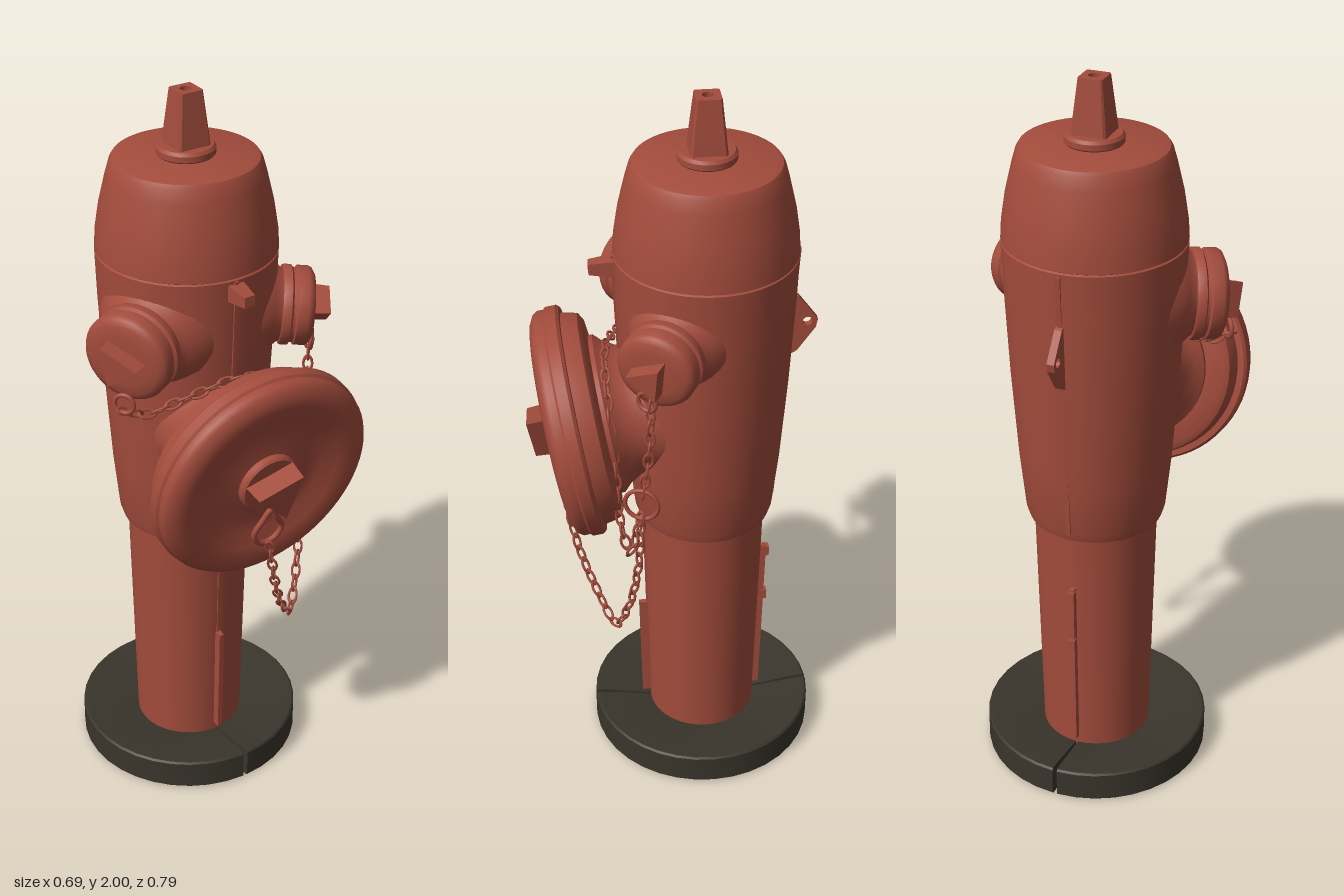
import * as THREE from 'three';
import { toCreasedNormals } from 'three/addons/utils/BufferGeometryUtils.js';

const AX = 0.01, AZ = -0.08; // vertical axis of the barrel

export function createModel() {
  const root = new THREE.Group();
  const red = new THREE.MeshStandardMaterial({ name: 'red paint', color: 0xa34c3c });
  const dark = new THREE.MeshStandardMaterial({ name: 'dark collar', color: 0x3a352c, side: THREE.DoubleSide });

  const V = (x, y, z) => new THREE.Vector3(x, y, z);
  const pts = (list) => list.map(([x, y]) => new THREE.Vector2(x, y));
  const add = (name, geo, parent = root, mat = red) => {
    const mesh = new THREE.Mesh(geo, mat);
    mesh.name = name;
    parent.add(mesh);
    return mesh;
  };
  const lathe = (list, seg = 48) => toCreasedNormals(new THREE.LatheGeometry(pts(list), seg), 0.6);
  const group = (name, pos, dir) => {
    const g = new THREE.Group();
    g.name = name;
    g.position.copy(pos);
    g.lookAt(pos.clone().add(dir)); // local +z points along dir
    root.add(g);
    return g;
  };

  // Split ground collar: two dished half rings with closed ends
  const ringProfile = [[0.15, 0], [0.31, 0], [0.315, 0.005], [0.315, 0.085], [0.31, 0.09], [0.28, 0.088], [0.15, 0.065], [0.15, 0]];
  for (const start of [0, Math.PI]) {
    const a0 = start + 0.02, sweep = Math.PI - 0.04;
    const half = add('groundCollarHalf', toCreasedNormals(new THREE.LatheGeometry(pts(ringProfile), 18, a0, sweep), 0.5), root, dark);
    half.position.set(AX, 0, AZ);
    for (const a of [a0, a0 + sweep]) {
      const end = add('groundCollarEnd', new THREE.ShapeGeometry(new THREE.Shape(pts(ringProfile))), root, dark);
      end.position.copy(half.position);
      end.rotation.y = a - Math.PI / 2;
    }
  }

  // Barrel and bonnet
  const barrel = add('barrel', lathe([
    [0, 0.003], [0.15, 0.003], [0.152, 0.09], [0.167, 0.765], [0.182, 0.775], [0.19, 0.80], [0.205, 0.95],
    [0.222, 1.2], [0.234, 1.45], [0.238, 1.577], [0.233, 1.58],
  ], 56));
  barrel.position.set(AX, 0, AZ);
  const bonnet = add('bonnet', lathe([
    [0.233, 1.58], [0.238, 1.583], [0.235, 1.63], [0.224, 1.70], [0.205, 1.78], [0.195, 1.815], [0.188, 1.826], [0.177, 1.83], [0, 1.832],
  ], 56));
  bonnet.position.set(AX, 0, AZ);

  // Operating nut: round flange and tapered square with a bore
  add('nutFlange', lathe([[0.07, 1.828], [0.076, 1.835], [0.076, 1.85], [0.07, 1.858], [0, 1.86]], 32)).position.set(AX, 0, AZ);
  const h = 0.047, c = 0.041;
  const square = new THREE.Shape(pts([[h, -c], [h, c], [c, h], [-c, h], [-h, c], [-h, -c], [-c, -h], [c, -h]]));
  square.holes.push(new THREE.Path().absarc(0, 0, 0.022, 0, Math.PI * 2, true));
  const nutGeo = new THREE.ExtrudeGeometry(square, { depth: 0.142, steps: 4, bevelEnabled: false, curveSegments: 10 });
  const p = nutGeo.attributes.position;
  for (let i = 0; i < p.count; i++) {
    const t = p.getZ(i) / 0.142, s = 1 - 0.32 * t;
    p.setXY(i, p.getX(i) * s, p.getY(i) * s);
  }
  nutGeo.rotateX(-Math.PI / 2);
  nutGeo.computeVertexNormals();
  add('operatingNut', nutGeo).position.set(AX, 1.858, AZ);

  // Triangular wrench nut lying along local z
  const triNut = (parent, r, from, to, spin) => {
    const geo = new THREE.CylinderGeometry(r * 0.94, r, to - from, 3).toNonIndexed();
    geo.computeVertexNormals();
    geo.rotateX(Math.PI / 2).rotateZ(spin);
    add('wrenchNut', geo, parent).position.z = (from + to) / 2;
  };

  // Large front outlet with dished cap, leaning slightly down
  const pumper = group('frontOutlet', V(AX, 1.078, 0.27), V(0, -0.174, 0.985));
  add('frontNeck', lathe([
    [0.185, -0.27], [0.172, -0.2], [0.175, -0.15], [0.195, -0.115], [0.215, -0.095], [0.215, -0.07],
  ]).rotateX(Math.PI / 2), pumper);
  add('frontCap', lathe([
    [0.2, -0.085], [0.262, -0.078], [0.278, -0.068], [0.285, -0.045], [0.288, -0.025], [0.305, -0.024], [0.312, -0.016],
    [0.312, 0.012], [0.306, 0.018], [0.306, 0.036], [0.298, 0.048], [0.275, 0.06], [0.25, 0.064], [0.215, 0.056],
    [0.17, 0.04], [0.13, 0.036], [0.09, 0.042], [0, 0.044],
  ], 64).rotateX(Math.PI / 2), pumper);
  add('frontCapBoss', lathe([[0.085, 0.03], [0.085, 0.058], [0.08, 0.064], [0, 0.065]], 36).rotateX(Math.PI / 2), pumper);
  triNut(pumper, 0.082, 0.06, 0.122, 0.27);

  // Teardrop chain eye on the front cap
  const eyePath = new THREE.CatmullRomCurve3([
    V(0, 0.065, 0.062), V(-0.025, 0.03, 0.062), V(-0.043, -0.01, 0.06), V(-0.03, -0.042, 0.06),
    V(0, -0.055, 0.06), V(0.03, -0.042, 0.06), V(0.043, -0.01, 0.06), V(0.02, 0.03, 0.062),
  ], true);
  add('frontChainEye', new THREE.TubeGeometry(eyePath, 36, 0.008, 8, true), pumper).position.set(0.015, -0.155, 0);

  // Two hose outlets, angled forward; the one on the model's right is larger
  for (const [side, k] of [[-1, 1.14], [1, 1]]) {
    const hose = group(side < 0 ? 'rightHoseOutlet' : 'leftHoseOutlet', V(AX, 1.42, AZ), V(side * 0.866, -0.07, 0.5));
    add('hoseNeck', lathe([
      [0.155 * k, 0.14], [0.135 * k, 0.19], [0.113 * k, 0.222], [0.098 * k, 0.24], [0.095 * k, 0.25],
    ], 36).rotateX(Math.PI / 2), hose);
    add('hoseCap', lathe([
      [0.09 * k, 0.243], [0.104 * k, 0.245], [0.106 * k, 0.25], [0.106 * k, 0.268], [0.099 * k, 0.273], [0.099 * k, 0.28],
      [0.105 * k, 0.284], [0.105 * k, 0.312], [0.1 * k, 0.322], [0.086 * k, 0.33], [0.06 * k, 0.333], [0, 0.334],
    ], 36).rotateX(Math.PI / 2), hose);
    triNut(hose, 0.058 * k, 0.33, 0.375, side * 0.4);
  }

  // Casting seams, straight ribs following the barrel front and back
  const rib = (y0, z0, y1, z1, w, d) => {
    const mesh = add('castingSeam', new THREE.BoxGeometry(w, Math.hypot(y1 - y0, z1 - z0), d));
    mesh.position.set(AX, (y0 + y1) / 2, (z0 + z1) / 2);
    mesh.rotation.x = Math.atan2(z1 - z0, y1 - y0);
  };
  rib(0.09, 0.082, 0.43, 0.09, 0.014, 0.026);
  rib(0.43, 0.078, 0.77, 0.086, 0.006, 0.01);
  rib(1.3, 0.146, 1.575, 0.157, 0.01, 0.012);
  rib(0.09, -0.236, 0.61, -0.246, 0.014, 0.03);
  rib(0.8, -0.27, 1.57, -0.318, 0.012, 0.012);
  for (const [y, z] of [[0.43, -0.257], [0.59, -0.26]]) {
    add('seamLug', new THREE.BoxGeometry(0.02, 0.03, 0.018)).position.set(AX, y, z);
  }

  // Pierced triangular tab on the back
  const tab = new THREE.Shape(pts([[-0.03, -0.11], [0.012, -0.085], [0.06, -0.015], [0.064, 0.008], [0.055, 0.02], [0.012, 0.078], [-0.03, 0.1]]));
  tab.holes.push(new THREE.Path().absarc(0.037, 0.003, 0.013, 0, Math.PI * 2, true));
  const tabGeo = new THREE.ExtrudeGeometry(tab, { depth: 0.02, bevelEnabled: false }).translate(0, 0, -0.01).rotateY(Math.PI / 2);
  add('backTab', tabGeo).position.set(AX, 1.35, -0.311);

  // Small tapered lug below the bonnet at the front
  const lugGeo = new THREE.CylinderGeometry(0.021, 0.034, 0.075, 4).rotateY(Math.PI / 4).rotateX(Math.PI / 2);
  add('frontLug', toCreasedNormals(lugGeo, 0.3)).position.set(AX, 1.545, 0.183);

  // Chains of alternating oval links
  const linkGeo = new THREE.TorusGeometry(0.012, 0.0035, 6, 12).scale(1, 1.8, 1);
  const chain = (name, points) => {
    const g = new THREE.Group();
    g.name = name;
    root.add(g);
    const curve = new THREE.CatmullRomCurve3(points);
    const n = Math.round(curve.getLength() / 0.037);
    for (let i = 0; i <= n; i++) {
      const link = add('chainLink', linkGeo, g);
      link.position.copy(curve.getPointAt(i / n));
      link.quaternion.setFromUnitVectors(V(0, 1, 0), curve.getTangentAt(i / n));
      link.rotateY(i % 2 ? 0.5 : 0.5 + Math.PI / 2);
    }
  };
  chain('frontCapChain', [V(0.03, 0.85, 0.305), V(0.07, 0.7, 0.275), V(0.13, 0.57, 0.225), V(0.185, 0.51, 0.185), V(0.225, 0.6, 0.15), V(0.25, 0.75, 0.125), V(0.265, 0.93, 0.115)]);
  chain('leftOutletChain', [V(0.285, 1.3, 0.09), V(0.28, 1.15, 0.095), V(0.27, 1.02, 0.11)]);
  chain('rightOutletChain', [V(-0.29, 1.27, 0.11), V(-0.22, 1.24, 0.11), V(-0.13, 1.27, 0.14), V(0.03, 1.31, 0.185), V(0.15, 1.25, 0.19), V(0.22, 1.08, 0.18), V(0.25, 0.88, 0.165), V(0.26, 0.82, 0.145), V(0.265, 0.93, 0.12)]);

  // Rings joining the chains and hanging from the hose caps
  const ring = (name, r, x, y, z, turn) => {
    const mesh = add(name, new THREE.TorusGeometry(r, 0.006, 8, 24));
    mesh.position.set(x, y, z);
    mesh.rotation.y = turn;
  };
  ring('joiningRing', 0.045, 0.265, 0.975, 0.115, 1.2);
  ring('leftCapRing', 0.026, 0.285, 1.31, 0.1, 0.9);
  ring('rightCapRing', 0.026, -0.29, 1.29, 0.11, -0.9);

  return root;
}
